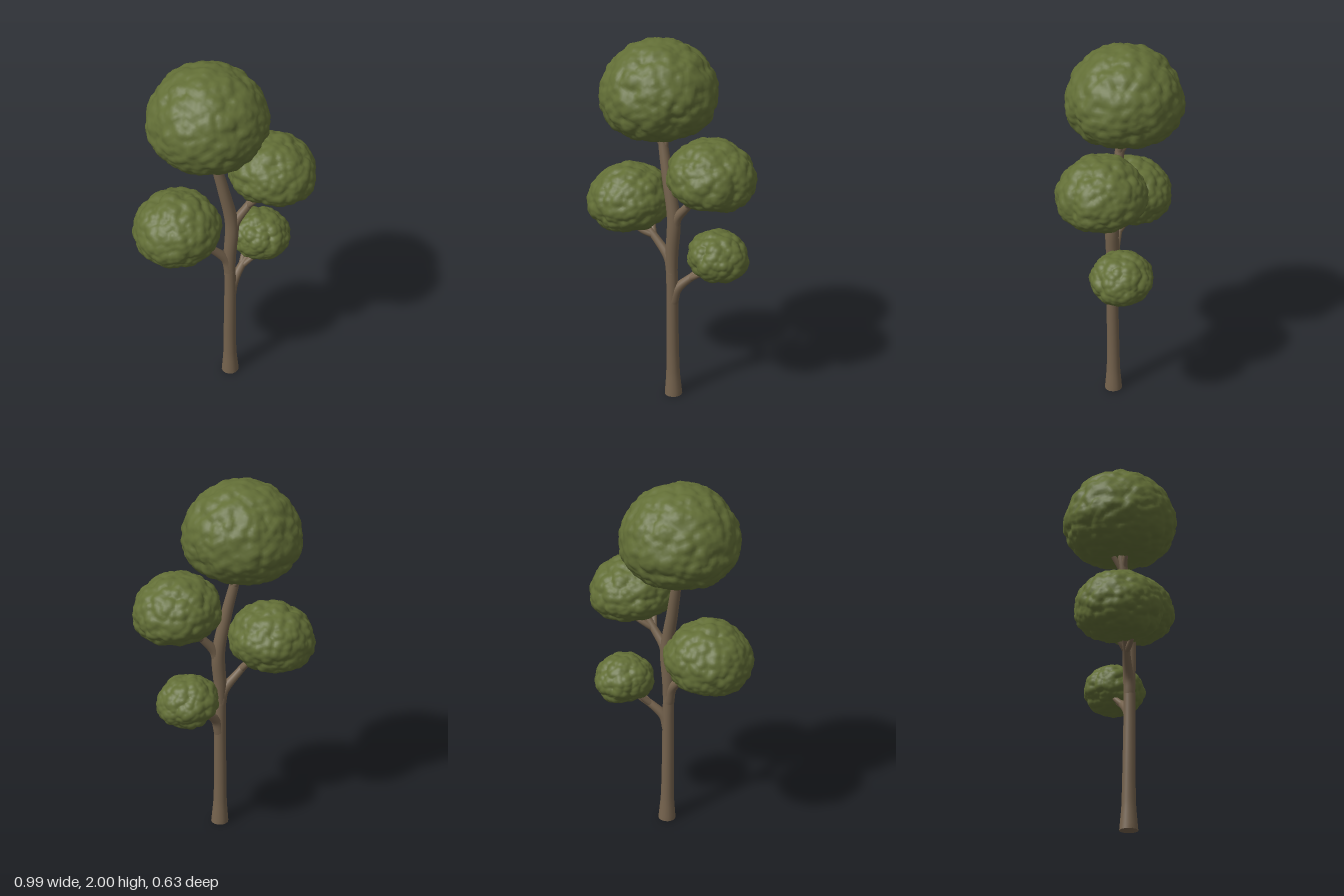
import * as THREE from 'three';
import { mergeVertices } from 'three/addons/utils/BufferGeometryUtils.js';

const V = (x, y, z) => new THREE.Vector3(x, y, z);

// Seeded lattice value in 0..1
function hash(x, y, z) {
  let h = Math.imul(x, 374761393) ^ Math.imul(y, 668265263) ^ Math.imul(z, 1274126177);
  h = Math.imul(h ^ (h >>> 13), 1103515245);
  return ((h ^ (h >>> 16)) >>> 0) / 4294967295;
}

// Rounded clumps: distance to the nearest jittered cell point
function clumps(x, y, z) {
  const ix = Math.floor(x), iy = Math.floor(y), iz = Math.floor(z);
  let best = 9;
  for (let a = ix - 1; a <= ix + 1; a++)
    for (let b = iy - 1; b <= iy + 1; b++)
      for (let c = iz - 1; c <= iz + 1; c++) {
        const dx = a + hash(a, b, c) - x;
        const dy = b + hash(a + 57, b, c) - y;
        const dz = c + hash(a, b + 91, c) - z;
        best = Math.min(best, dx * dx + dy * dy + dz * dz);
      }
  return 0.5 - Math.min(best, 1);
}

// Domed crown with a flattened, slightly hollow underside and a clumpy surface
function crown(name, material, { center, radius, up, down, tilt, seed }) {
  const base = new THREE.IcosahedronGeometry(1, 24);
  base.deleteAttribute('normal');
  base.deleteAttribute('uv');
  const geometry = mergeVertices(base, 1e-4);
  const pos = geometry.attributes.position;
  const d = V(0, 0, 0), p = V(0, 0, 0);
  for (let i = 0; i < pos.count; i++) {
    d.fromBufferAttribute(pos, i).normalize();
    const y = d.y > 0 ? up * d.y : down * Math.sin(Math.asin(d.y) * 1.25);
    p.set(d.x * radius, y, d.z * radius);
    const large = clumps(p.x * 12 + seed, p.y * 12, p.z * 12);
    const small = clumps(p.x * 26, p.y * 26 + seed, p.z * 26);
    p.addScaledVector(d, 0.022 * large + 0.014 * small - 0.006);
    pos.setXYZ(i, p.x, p.y, p.z);
  }
  geometry.computeVertexNormals();
  const mesh = new THREE.Mesh(geometry, material);
  mesh.name = name;
  mesh.position.set(...center);
  mesh.rotation.z = tilt;
  return mesh;
}

// Tube along a curve whose radius blends through the listed values
function limb(name, material, points, radii, segments = 24) {
  const curve = new THREE.CatmullRomCurve3(points.map((p) => V(...p)));
  const sides = 14;
  const geometry = new THREE.TubeGeometry(curve, segments, 1, sides);
  const pos = geometry.attributes.position;
  const p = V(0, 0, 0);
  for (let i = 0; i < pos.count; i++) {
    const u = Math.floor(i / (sides + 1)) / segments;
    const f = u * (radii.length - 1);
    const k = Math.min(Math.floor(f), radii.length - 2);
    const r = THREE.MathUtils.lerp(radii[k], radii[k + 1], f - k);
    const c = curve.getPointAt(u);
    p.fromBufferAttribute(pos, i).sub(c).multiplyScalar(r).add(c);
    pos.setXYZ(i, p.x, p.y, p.z);
  }
  geometry.computeVertexNormals();
  // Share normals across the tube's seam
  const n = geometry.attributes.normal;
  for (let i = 0; i <= segments; i++) {
    const a = i * (sides + 1), b = a + sides;
    p.set(n.getX(a) + n.getX(b), n.getY(a) + n.getY(b), n.getZ(a) + n.getZ(b)).normalize();
    n.setXYZ(a, p.x, p.y, p.z);
    n.setXYZ(b, p.x, p.y, p.z);
  }
  const mesh = new THREE.Mesh(geometry, material);
  mesh.name = name;
  return mesh;
}

export function createModel() {
  const bark = new THREE.MeshStandardMaterial({ color: 0x74624d });
  bark.name = 'bark';
  const leaves = new THREE.MeshStandardMaterial({ color: 0x626e36 });
  leaves.name = 'leaves';
  const tree = new THREE.Group();
  tree.name = 'tree';

  // Trunk with a flared foot
  tree.add(limb('trunk', bark,
    [[0.026, 0, 0.026], [0.022, 0.25, 0.028], [0.022, 0.6, 0.032], [0.02, 0.85, 0.032],
      [0.03, 1.05, 0.03], [-0.015, 1.28, 0.025], [-0.06, 1.48, 0.01], [-0.08, 1.62, 0]],
    [0.049, 0.038, 0.035, 0.034, 0.033, 0.032, 0.031, 0.035, 0.037, 0.034, 0.031, 0.028, 0.024, 0.018], 56));
  const foot = new THREE.Mesh(new THREE.CircleGeometry(0.049, 14), bark);
  foot.name = 'trunkFoot';
  foot.rotation.x = Math.PI / 2;
  foot.position.set(0.026, 0.001, 0.026);
  tree.add(foot);

  // Main branches, thick where they leave the trunk
  const taper = [0.032, 0.028, 0.023, 0.02, 0.017, 0.012];
  tree.add(limb('leftBranch', bark,
    [[0.02, 0.74, 0.032], [0, 0.82, 0.032], [-0.07, 0.9, 0.035], [-0.14, 0.965, 0.04], [-0.25, 1.04, 0.04]], taper));
  tree.add(limb('rightBranch', bark,
    [[0.028, 0.97, 0.03], [0.05, 1.06, 0.03], [0.11, 1.135, 0.025], [0.165, 1.2, 0.02], [0.24, 1.3, 0.01]], taper));
  tree.add(limb('lowBranch', bark,
    [[0.024, 0.57, 0.032], [0.045, 0.645, 0.022], [0.1, 0.71, -0.015], [0.16, 0.755, -0.05], [0.23, 0.82, -0.08]], taper));

  // Twigs forking into the crowns
  const twigs = [
    [[-0.045, 1.42, 0.015], [-0.085, 1.5, 0.03], [-0.14, 1.6, 0.08]],
    [[-0.045, 1.42, 0.015], [-0.035, 1.5, 0], [-0.01, 1.6, -0.04]],
    [[-0.045, 1.42, 0.015], [-0.075, 1.5, -0.03], [-0.12, 1.6, -0.1]],
    [[-0.1, 0.93, 0.037], [-0.13, 0.98, 0.005], [-0.16, 1.06, -0.05]],
    [[-0.1, 0.93, 0.037], [-0.16, 0.955, 0.07], [-0.23, 1.02, 0.1]],
    [[0.12, 1.145, 0.025], [0.15, 1.2, 0.06], [0.18, 1.28, 0.1]],
    [[0.12, 1.145, 0.025], [0.18, 1.19, -0.02], [0.27, 1.25, -0.07]],
    [[0.1, 0.71, -0.015], [0.165, 0.75, -0.02], [0.24, 0.8, -0.02]],
    [[0.1, 0.71, -0.015], [0.13, 0.76, -0.06], [0.16, 0.83, -0.11]],
  ];
  twigs.forEach((path, i) => tree.add(limb('twig' + (i + 1), bark, path, [0.018, 0.014, 0.011], 10)));

  // Leaf crowns
  tree.add(crown('topCrown', leaves,
    { center: [-0.088, 1.695, 0], radius: 0.305, up: 0.298, down: 0.195, tilt: 0.05, seed: 3 }));
  tree.add(crown('rightCrown', leaves,
    { center: [0.257, 1.325, 0.01], radius: 0.23, up: 0.202, down: 0.125, tilt: -0.14, seed: 11 }));
  tree.add(crown('leftCrown', leaves,
    { center: [-0.267, 1.09, 0.027], radius: 0.229, up: 0.202, down: 0.145, tilt: 0.16, seed: 23 }));
  tree.add(crown('lowCrown', leaves,
    { center: [0.235, 0.85, -0.088], radius: 0.162, up: 0.136, down: 0.112, tilt: -0.16, seed: 37 }));
  return tree;
}
